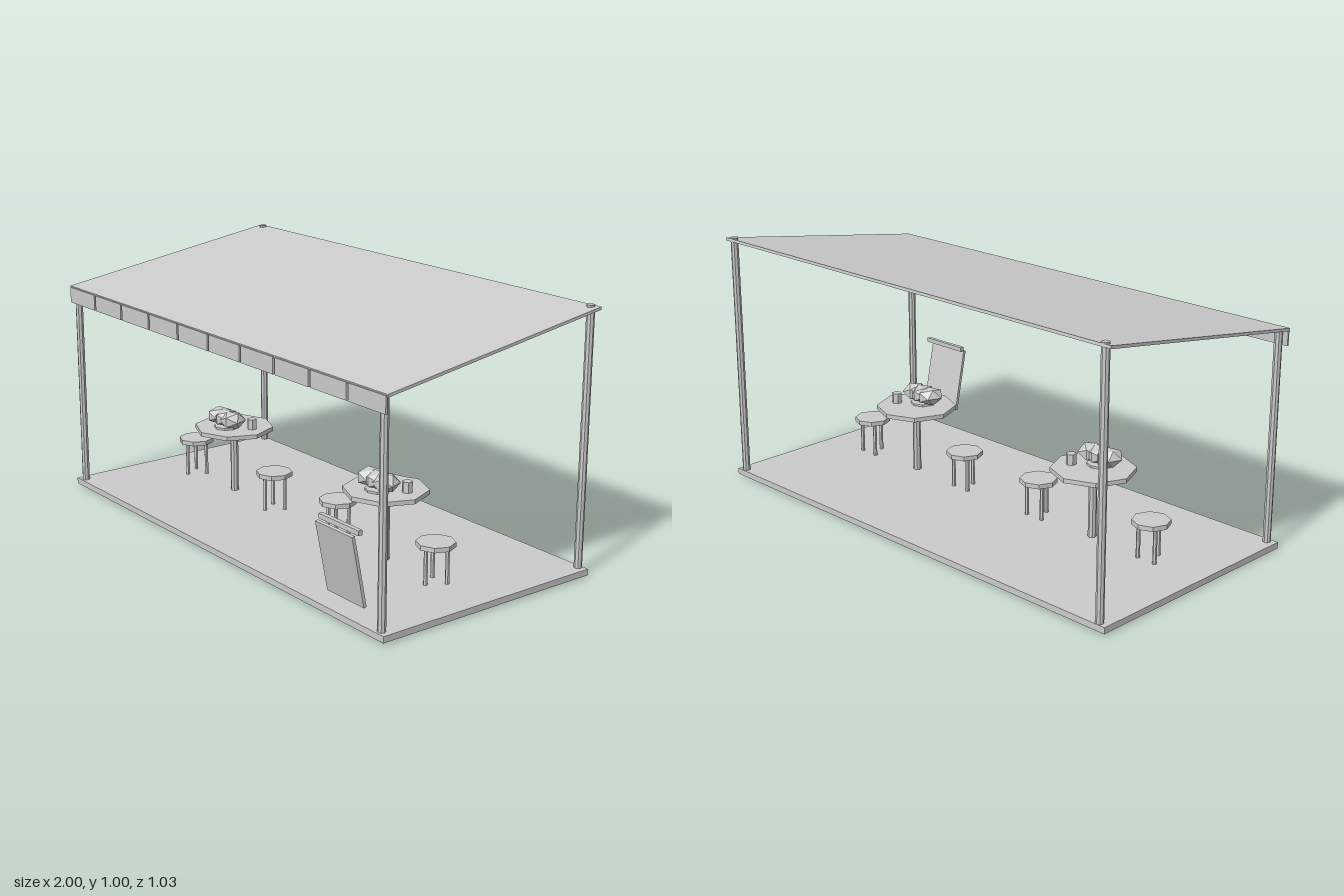
import * as THREE from 'three';

const material = new THREE.MeshStandardMaterial({ color: 0xcccccc, flatShading: true });

function add(parent, name, geometry, x = 0, y = 0, z = 0) {
  const mesh = new THREE.Mesh(geometry, material);
  mesh.name = name;
  mesh.position.set(x, y, z);
  parent.add(mesh);
  return mesh;
}

const box = (w, h, d) => new THREE.BoxGeometry(w, h, d);

// Upright prism standing between two heights
function prism(parent, name, radius, y0, y1, sides, x = 0, z = 0) {
  return add(parent, name, new THREE.CylinderGeometry(radius, radius, y1 - y0, sides), x, (y0 + y1) / 2, z);
}

function makeTable(x) {
  const table = new THREE.Group();
  table.name = 'table';
  table.position.set(x, 0, 0.003);
  prism(table, 'tableTop', 0.16, 0.288, 0.305, 8);
  prism(table, 'tableLeg', 0.016, 0.03, 0.288, 8);
  prism(table, 'plate', 0.05, 0.305, 0.313, 8, 0, 0.037);
  prism(table, 'cup', 0.02, 0.305, 0.346, 6, 0.08, -0.033);
  // Overlapping faceted lumps of food
  for (const i of [-1, 0, 1]) {
    const food = add(table, 'food', new THREE.IcosahedronGeometry(1, 0), i * 0.044, 0.345, 0.037);
    food.scale.set(0.052, 0.037, 0.056);
    food.rotation.y = i * 0.35;
  }
  return table;
}

function makeStool(x) {
  const stool = new THREE.Group();
  stool.name = 'stool';
  stool.position.set(x, 0, 0.003);
  prism(stool, 'stoolSeat', 0.072, 0.166, 0.184, 8);
  for (let i = 0; i < 3; i++) {
    const a = (i * Math.PI * 2) / 3;
    prism(stool, 'stoolLeg', 0.008, 0, 0.166, 6, 0.045 * Math.sin(a), 0.045 * Math.cos(a));
  }
  return stool;
}

export function createModel() {
  const model = new THREE.Group();
  model.name = 'foodShelter';

  add(model, 'floor', box(2, 0.024, 0.96), 0, 0.018, -0.035);

  // Corner posts, taller at the back
  for (const x of [-0.965, 0.965]) {
    prism(model, 'frontPost', 0.015, 0.03, 0.845, 8, x, 0.423);
    prism(model, 'backPost', 0.015, 0.03, 1.003, 8, x, -0.499);
  }

  // Sloping roof
  const rise = 0.147, run = 0.955;
  const roof = add(model, 'roof', box(2, 0.011, Math.hypot(rise, run)), 0, 0.92, -0.037);
  roof.rotation.x = Math.atan2(rise, run);

  // Valance of ten flaps along the front edge
  for (let i = 0; i < 10; i++) {
    add(model, 'valanceFlap', box(0.19, 0.062, 0.007), -0.9 + i * 0.2, 0.816, 0.441);
  }

  for (const x of [-0.48, 0.48]) model.add(makeTable(x));
  for (const x of [-0.76, -0.205, 0.2, 0.755]) model.add(makeStool(x));

  // Leaning menu board with a rail above it
  const board = add(model, 'menuBoard', box(0.195, 0.266, 0.012), 0.82, 0.237, 0.481);
  board.rotation.x = 0.2;
  add(model, 'menuRail', box(0.21, 0.018, 0.017), 0.823, 0.379, 0.487);

  return model;
}
